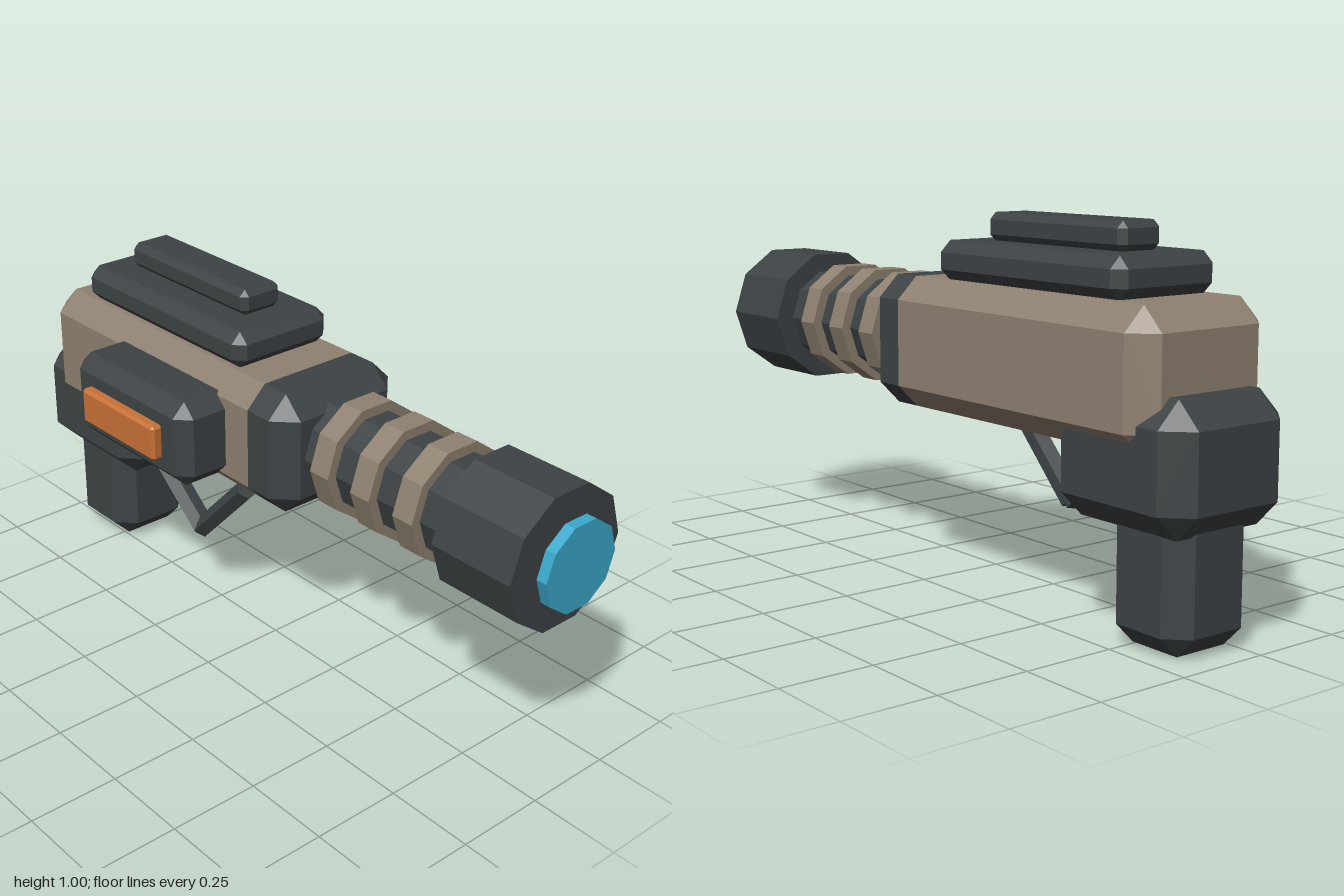
import * as THREE from 'three';
import { ConvexGeometry } from 'three/addons/geometries/ConvexGeometry.js';

const paint = (name, color) => {
  const m = new THREE.MeshStandardMaterial({ color, flatShading: true });
  m.name = name;
  return m;
};

// Box with chamfered edges; flatFront / flatBack leave that z end unbevelled
function chamferBox([x0, x1], [y0, y1], [z0, z1], c, flatFront = false, flatBack = false) {
  const pts = [];
  for (const sx of [0, 1]) for (const sy of [0, 1]) for (const sz of [0, 1]) {
    const x = sx ? x1 : x0, y = sy ? y1 : y0, z = sz ? z1 : z0;
    const xi = x + (sx ? -c : c), yi = y + (sy ? -c : c), zi = z + (sz ? -c : c);
    if (sz ? flatFront : flatBack) {
      pts.push(new THREE.Vector3(x, yi, z), new THREE.Vector3(xi, y, z));
    } else {
      pts.push(new THREE.Vector3(x, yi, zi), new THREE.Vector3(xi, y, zi), new THREE.Vector3(xi, yi, z));
    }
  }
  return new ConvexGeometry(pts);
}

// Ten-sided drum along z on the barrel axis
function drum(radius, z0, z1) {
  return new THREE.CylinderGeometry(radius, radius, z1 - z0, 10, 1, false, Math.PI / 2)
    .rotateX(Math.PI / 2)
    .translate(0.087, 0.65, (z0 + z1) / 2);
}

// Five-sided bar between two points given as [y, z]
function bar([ya, za], [yb, zb]) {
  const dy = yb - ya, dz = zb - za;
  return new THREE.CylinderGeometry(0.03, 0.03, Math.hypot(dy, dz), 5, 1, false, -Math.PI / 2)
    .scale(1.16, 1, 1)
    .rotateX(Math.atan2(dz, dy))
    .translate(-0.034, (ya + yb) / 2, (za + zb) / 2);
}

export function createModel() {
  const dark = paint('dark metal', 0x3d4345);
  const tan = paint('tan casing', 0x8f8170);
  const blue = paint('blue lens', 0x3aa9cc);
  const orange = paint('orange panel', 0xc87137);

  const model = new THREE.Group();
  model.name = 'blaster';
  const add = (name, geometry, material) => {
    const mesh = new THREE.Mesh(geometry, material);
    mesh.name = name;
    model.add(mesh);
  };

  // Casing and its front collar
  add('body', chamferBox([-0.127, 0.303], [0.475, 0.825], [-0.905, 0.035], 0.06, true), tan);
  add('frontCollar', chamferBox([-0.127, 0.303], [0.475, 0.825], [0.035, 0.18], 0.06, false, true), dark);

  // Stepped top plates
  add('topPlate', chamferBox([-0.078, 0.252], [0.822, 0.927], [-0.77, -0.06], 0.03), dark);
  add('topRail', chamferBox([0.02, 0.155], [0.925, 1.0], [-0.675, -0.155], 0.018), dark);

  // Side pod with its panel
  add('sidePod', chamferBox([-0.273, -0.05], [0.524, 0.774], [-0.57, -0.06], 0.04), dark);
  add('sidePanel', chamferBox([-0.305, -0.268], [0.597, 0.7], [-0.48, -0.15], 0.008), orange);

  // Barrel, rings, muzzle and lens
  add('barrel', drum(0.14, 0.1, 0.75), dark);
  for (const z of [0.267, 0.42, 0.573]) add('barrelRing', drum(0.168, z - 0.034, z + 0.034), tan);
  add('muzzle', drum(0.194, 0.7, 0.952), dark);
  add('lens', drum(0.123, 0.97, 1.0), blue);

  // Rear housing and grip
  add('gripHousing', chamferBox([-0.108, 0.283], [0.295, 0.62], [-1.0, -0.545], 0.065), dark);
  add('grip', chamferBox([-0.045, 0.22], [0, 0.36], [-0.945, -0.685], 0.055), dark);

  // V-shaped trigger guard
  add('guardFront', bar([0.232, -0.29], [0.447, -0.083]), dark);
  add('guardRear', bar([0.232, -0.285], [0.45, -0.545]), dark);

  return model;
}
